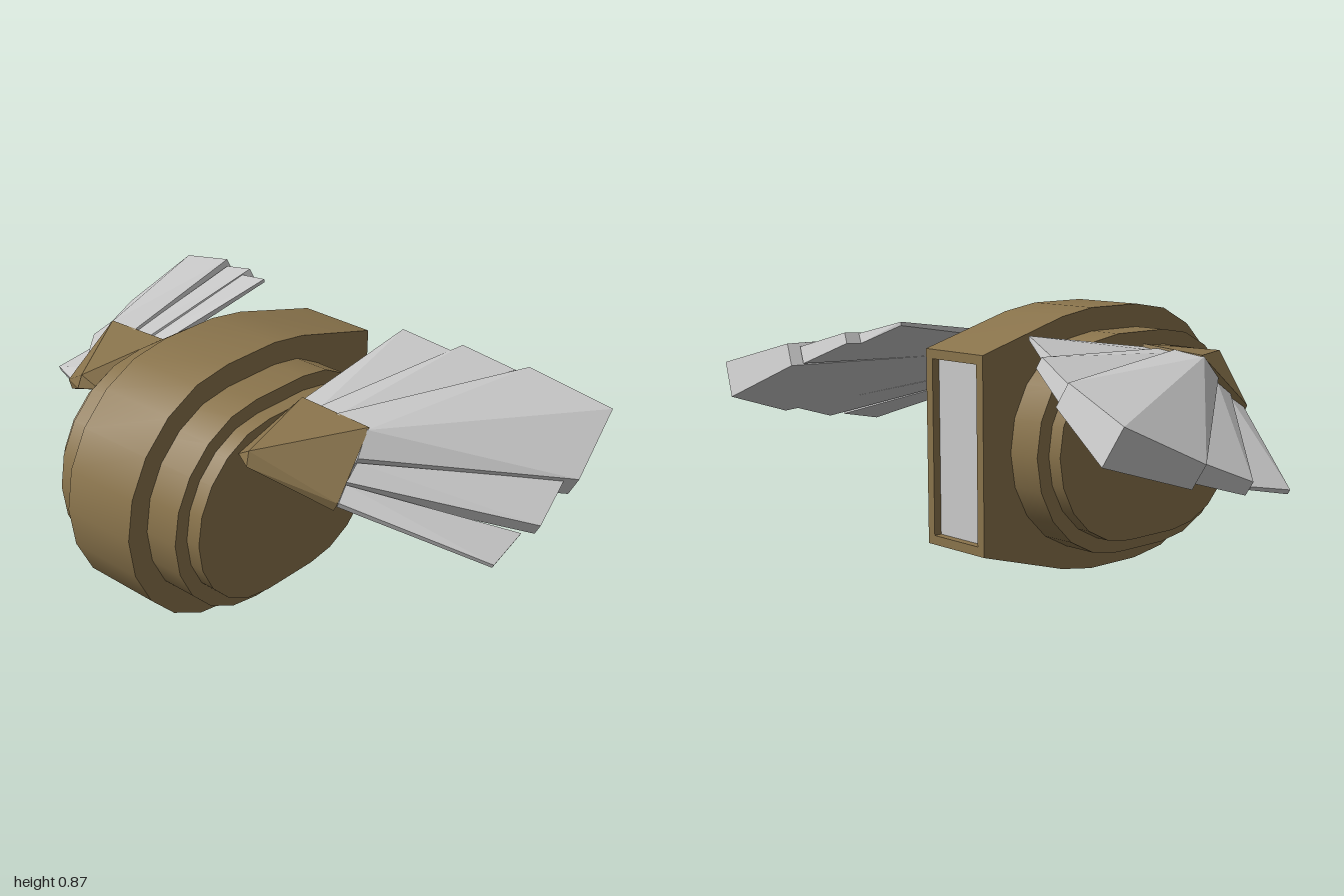
import * as THREE from 'three';
import { toCreasedNormals } from 'three/addons/utils/BufferGeometryUtils.js';
import { ConvexGeometry } from 'three/addons/geometries/ConvexGeometry.js';

const bronze = new THREE.MeshStandardMaterial({ color: 0x8a744c });
const grey = new THREE.MeshStandardMaterial({ color: 0xcccccc });
const CY = 0.435; // height of the body axis

function add(parent, name, geometry, material) {
  const mesh = new THREE.Mesh(geometry, material);
  mesh.name = name;
  parent.add(mesh);
  return mesh;
}

// Upper half of the rounded outline, from the right shoulder round to the left end
function arc(r, from, to) {
  const pts = [];
  for (let i = from; i <= to; i++) {
    const a = i * Math.PI / 10;
    const cx = i <= 5 ? -0.04 : -0.25;
    pts.push([cx + r * Math.cos(a), r * Math.sin(a)]);
    if (i === 5) pts.push([-0.25, r]);
  }
  return pts;
}

function slab(points, halfDepth) {
  const shape = new THREE.Shape(points.map(([x, y]) => new THREE.Vector2(x, y)));
  const g = new THREE.ExtrudeGeometry(shape, { depth: halfDepth * 2, bevelEnabled: false });
  g.translate(0, CY, -halfDepth);
  return toCreasedNormals(g, 0.5);
}

const mirrored = (half) => [...half, ...half.filter((p) => Math.abs(p[1]) > 1e-6).reverse().map(([x, y]) => [x, -y])];

// Underside plane of a wing: feathers are wedges standing on it
const floorY = (x, z) => 0.907 + 0.164 * x - 0.538 * z;
const normal = new THREE.Vector3(-0.164, 1, 0.538);
function drop(p) {
  const h = (p.y - floorY(p.x, p.z)) / normal.lengthSq();
  const q = p.clone().addScaledVector(normal, -h);
  if (q.z < 0.305) q.set(q.x, floorY(q.x, 0.305), 0.305);
  return q;
}

// Top corners of each feather: two at the root, two at the tip
const feathers = [
  [[-0.26, 0.57, 0.59], [-0.21, 0.605, 0.575], [0.16, 0.43, 0.96], [0, 0.40, 0.975]],
  [[-0.21, 0.615, 0.577], [-0.155, 0.655, 0.57], [0.37, 0.525, 0.965], [0.2, 0.455, 1]],
  [[-0.155, 0.67, 0.572], [-0.1, 0.74, 0.56], [0.66, 0.655, 0.945], [0.4, 0.53, 1]],
  [[-0.1, 0.74, 0.56], [-0.1, 0.752, 0.44], [0.59, 0.735, 0.67], [0.66, 0.655, 0.945]],
  [[-0.1, 0.743, 0.44], [-0.1, 0.75, 0.37], [0.5, 0.78, 0.47], [0.56, 0.725, 0.64]],
  [[-0.1, 0.742, 0.37], [-0.1, 0.75, 0.305], [0.395, 0.82, 0.305], [0.45, 0.775, 0.46]],
];

// Faceted root cover: ridged top, then lower rim
const cover = [
  [-0.405, 0.72, 0.365], [-0.1, 0.76, 0.305], [-0.09, 0.745, 0.56], [-0.27, 0.575, 0.595],
  [-0.42, 0.675, 0.37], [-0.27, 0.545, 0.58], [-0.385, 0.68, 0.305], [-0.09, 0.725, 0.305],
  [-0.08, 0.645, 0.51],
];

function makeWing(side, name) {
  const wing = new THREE.Group();
  wing.name = name;
  const hull = (pts) => new ConvexGeometry(pts.map((p) => new THREE.Vector3(p.x, p.y, p.z * side)));
  for (const f of feathers) {
    const top = f.map((p) => new THREE.Vector3(...p));
    add(wing, 'feather', hull([...top, ...top.map(drop)]), grey);
  }
  add(wing, 'wingRootCover', hull(cover.map((p) => new THREE.Vector3(...p))), bronze);
  return wing;
}

export function createModel() {
  const model = new THREE.Group();

  // Main shell with a tapering tail end, and two stepped cheeks on each side
  const backHalf = 0.3237;
  add(model, 'shell', slab(mirrored([[0.4, backHalf], ...arc(0.433, 4, 10)]), 0.135), bronze);
  add(model, 'outerCheeks', slab(mirrored(arc(0.357, 0, 10)), 0.255), bronze);
  add(model, 'innerCheeks', slab(mirrored(arc(0.308, 0, 10)), 0.305), bronze);

  // Rim round the recessed panel
  const rim = new THREE.Shape();
  rim.moveTo(-0.135, -0.315).lineTo(0.135, -0.315).lineTo(0.135, 0.315).lineTo(-0.135, 0.315).closePath();
  const hole = new THREE.Path();
  hole.moveTo(-0.105, -0.285).lineTo(-0.105, 0.285).lineTo(0.105, 0.285).lineTo(0.105, -0.285).closePath();
  rim.holes.push(hole);
  const rimGeo = new THREE.ExtrudeGeometry(rim, { depth: 0.03, bevelEnabled: false });
  const p = rimGeo.attributes.position;
  for (let i = 0; i < p.count; i++) {
    // flare the inner end to meet the shell
    if (p.getZ(i) < 0.01 && Math.abs(p.getY(i)) > 0.3) p.setY(i, Math.sign(p.getY(i)) * backHalf);
  }
  rimGeo.rotateY(Math.PI / 2).translate(0.4, CY, 0);
  rimGeo.computeVertexNormals();
  add(model, 'panelRim', rimGeo, bronze);
  add(model, 'recessedPanel', new THREE.BoxGeometry(0.01, 0.57, 0.21).translate(0.398, CY, 0), grey);

  model.add(makeWing(1, 'frontWing'), makeWing(-1, 'backWing'));
  return model;
}
